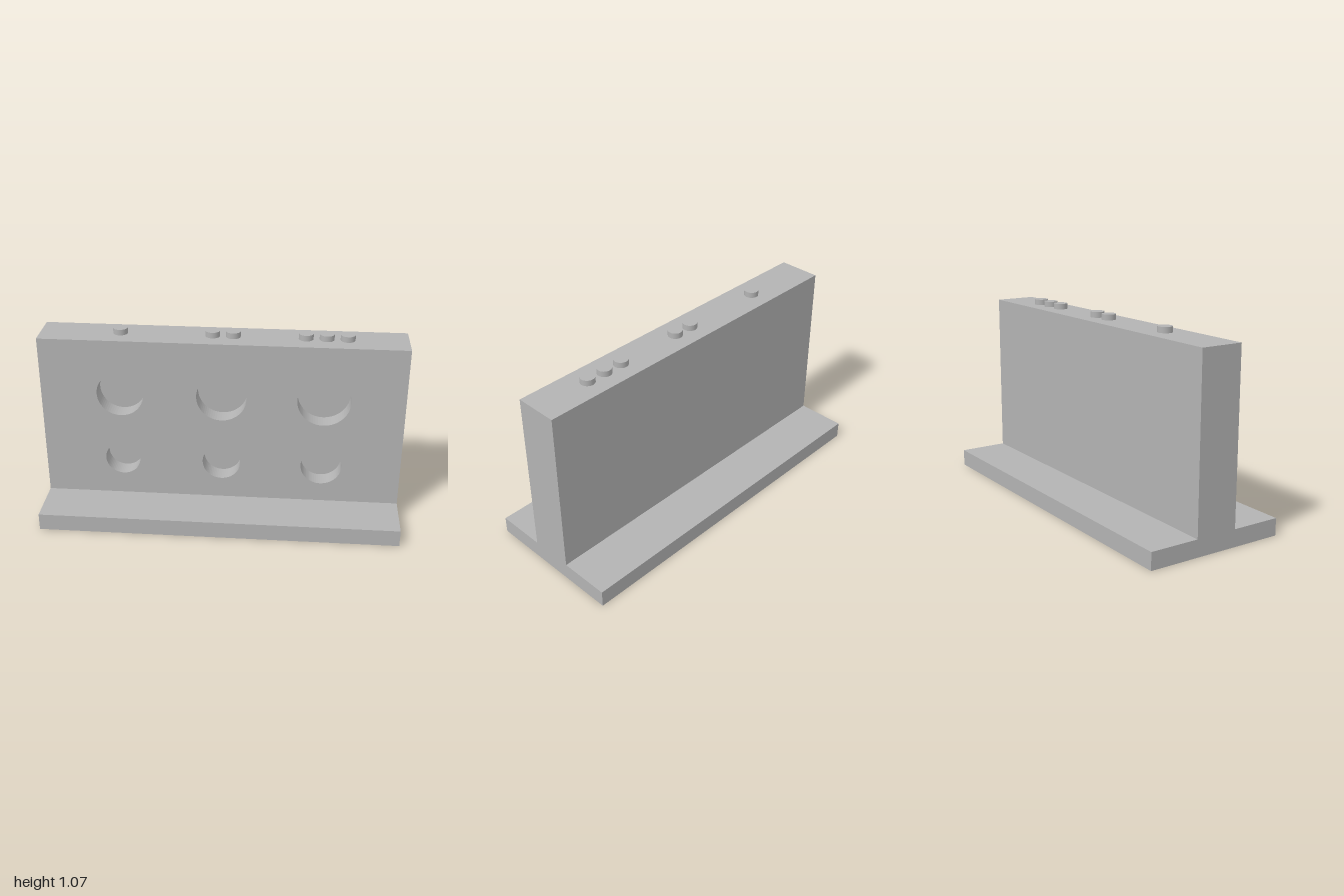
import * as THREE from 'three';

const WIDTH = 2;
const BASE_H = 0.096, BASE_D = 0.8;
const WALL_TOP = 1.04, WALL_HALF = 0.12;
const POCKET_DEPTH = 0.1;

// Round pockets in the front of the wall: x, y, radius
const POCKETS = [
  [-0.56, 0.724, 0.129], [0, 0.724, 0.138], [0.56, 0.724, 0.146],
  [-0.56, 0.322, 0.098], [0, 0.322, 0.106], [0.56, 0.322, 0.114],
];

export function createModel() {
  const model = new THREE.Group();
  model.name = 'pocketStand';
  const grey = new THREE.MeshStandardMaterial({ color: 0xb3b3b3 });
  grey.name = 'plain grey';

  const add = (name, geometry, x, y, z) => {
    const mesh = new THREE.Mesh(geometry, grey);
    mesh.name = name;
    mesh.position.set(x, y, z);
    model.add(mesh);
  };

  // Flat foot
  add('base', new THREE.BoxGeometry(WIDTH, BASE_H, BASE_D), 0, BASE_H / 2, 0);

  // Solid rear layer of the wall, which closes the pockets
  const wallH = WALL_TOP - BASE_H;
  const backDepth = 2 * WALL_HALF - POCKET_DEPTH;
  add('wallBack', new THREE.BoxGeometry(WIDTH, wallH, backDepth),
    0, BASE_H + wallH / 2, -WALL_HALF + backDepth / 2);

  // Front layer of the wall, pierced by the pockets
  const face = new THREE.Shape([
    new THREE.Vector2(-WIDTH / 2, BASE_H), new THREE.Vector2(WIDTH / 2, BASE_H),
    new THREE.Vector2(WIDTH / 2, WALL_TOP), new THREE.Vector2(-WIDTH / 2, WALL_TOP),
  ]);
  for (const [x, y, r] of POCKETS) {
    face.holes.push(new THREE.Path().absarc(x, y, r, 0, Math.PI * 2, true));
  }
  add('wallFront', new THREE.ExtrudeGeometry(face, {
    depth: POCKET_DEPTH, bevelEnabled: false, curveSegments: 32,
  }), 0, 0, WALL_HALF - POCKET_DEPTH);

  // Counting studs on top: one, two and three above the columns
  const studH = 0.032, spacing = 0.112;
  const stud = new THREE.CylinderGeometry(0.04, 0.04, studH, 40);
  [-0.56, 0, 0.56].forEach((column, i) => {
    for (let k = 0; k <= i; k++) {
      add('stud', stud, column + (k - i / 2) * spacing, WALL_TOP + studH / 2, 0);
    }
  });

  return model;
}
